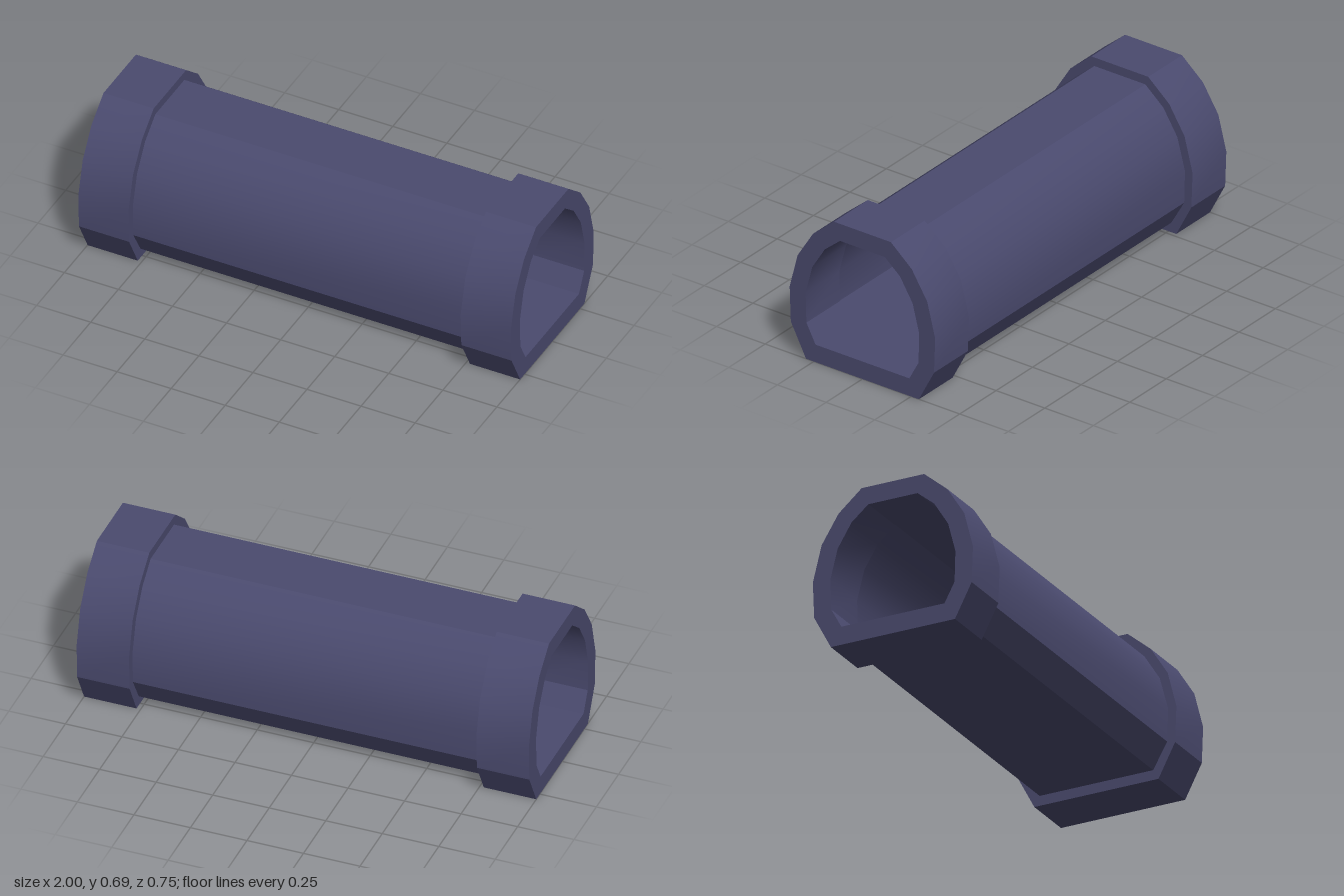
import * as THREE from 'three';
import { toCreasedNormals } from 'three/addons/utils/BufferGeometryUtils.js';

// Half sections of the arched outline, from the floor corner up to the flat crown
const collarOuter = [[0.29, 0], [0.368, 0.15], [0.374, 0.312], [0.333, 0.472], [0.254, 0.598], [0.146, 0.69]];
const collarInner = [[0.241, 0.082], [0.288, 0.17], [0.292, 0.308], [0.258, 0.44], [0.193, 0.545], [0.115, 0.61]];
const tubeOuter = [[0.265, 0.045], [0.331, 0.16], [0.335, 0.31], [0.296, 0.456], [0.224, 0.571], [0.131, 0.65]];
const tubeInner = [[0.243, 0.077], [0.292, 0.169], [0.296, 0.308], [0.262, 0.442], [0.196, 0.549], [0.117, 0.615]];

// Mirrors a half section into a closed loop
function loop(half) {
  const right = half.map(([x, y]) => new THREE.Vector2(x, y));
  const left = half.map(([x, y]) => new THREE.Vector2(-x, y)).reverse();
  return [...right, ...left];
}

// Hollow section running along x between two positions
function hollowSection(name, outer, inner, x0, x1, material) {
  const shape = new THREE.Shape(loop(outer));
  shape.holes.push(new THREE.Path(loop(inner)));
  const geometry = new THREE.ExtrudeGeometry(shape, { depth: x1 - x0, bevelEnabled: false });
  geometry.rotateY(Math.PI / 2).translate(x0, 0, 0);
  const mesh = new THREE.Mesh(toCreasedNormals(geometry, 0.4), material);
  mesh.name = name;
  return mesh;
}

export function createModel() {
  const group = new THREE.Group();
  group.name = 'tunnel';
  const material = new THREE.MeshStandardMaterial({ color: 0x4a4a6e });

  // Long passage between the two thicker end collars
  group.add(hollowSection('passage', tubeOuter, tubeInner, -0.77, 0.77, material));
  group.add(hollowSection('leftCollar', collarOuter, collarInner, 0.768, 1, material));
  group.add(hollowSection('rightCollar', collarOuter, collarInner, -1, -0.768, material));
  return group;
}
